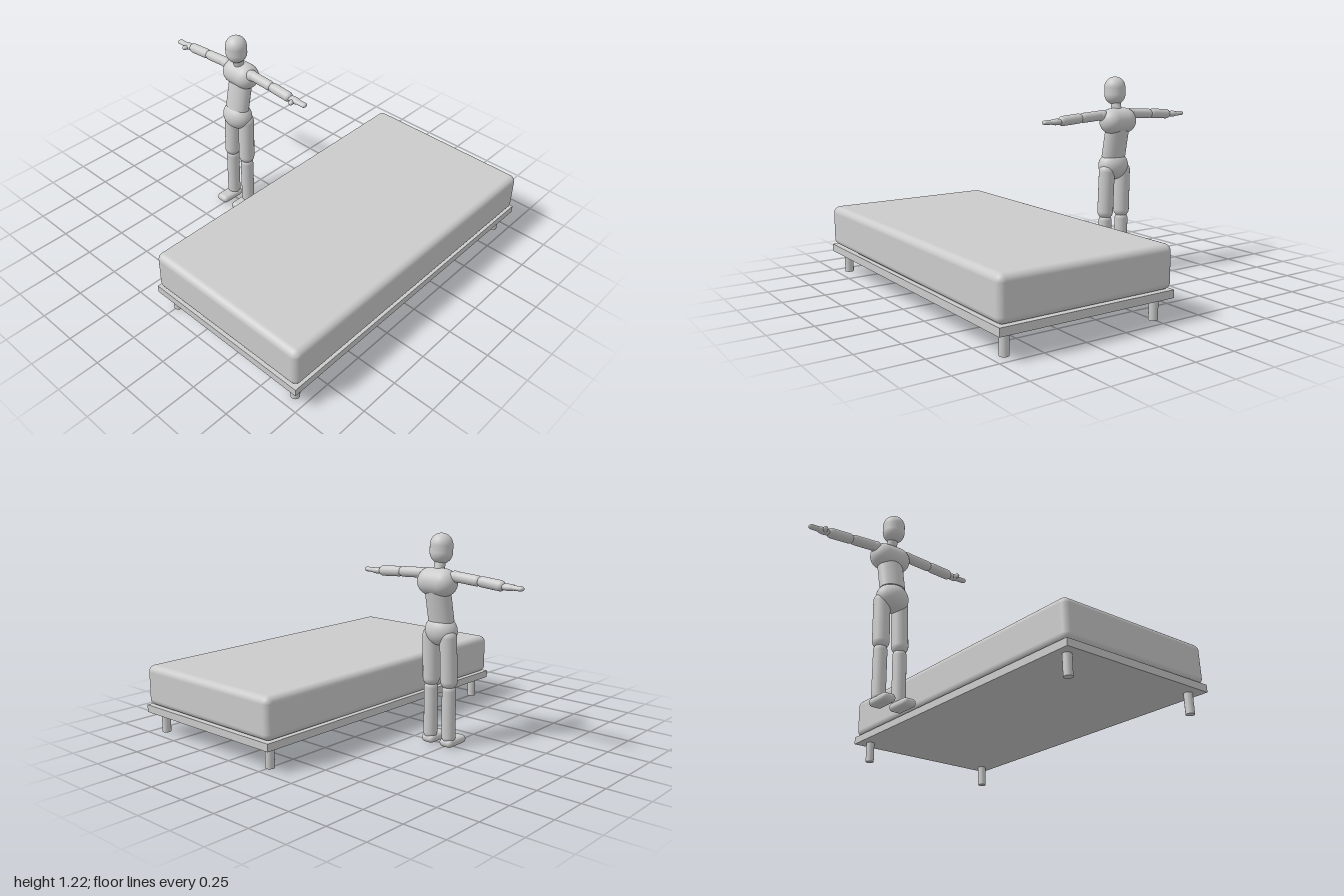
import * as THREE from 'three';
import { RoundedBoxGeometry } from 'three/addons/geometries/RoundedBoxGeometry.js';

const material = new THREE.MeshStandardMaterial({ color: 0xcccccc });
const UP = new THREE.Vector3(0, 1, 0);

function add(parent, name, geometry, x = 0, y = 0, z = 0) {
  const mesh = new THREE.Mesh(geometry, material);
  mesh.name = name;
  mesh.position.set(x, y, z);
  parent.add(mesh);
  return mesh;
}

// Capsule whose tips touch points a and b; sx and sz flatten its cross-section
function limb(parent, name, a, b, radius, sx = 1, sz = 1) {
  const start = new THREE.Vector3(...a), end = new THREE.Vector3(...b);
  const axis = end.clone().sub(start);
  const length = Math.max(axis.length() - 2 * radius, 0.001);
  const mesh = add(parent, name, new THREE.CapsuleGeometry(radius, length, 10, 32));
  mesh.position.copy(start).add(end).multiplyScalar(0.5);
  mesh.quaternion.setFromUnitVectors(UP, axis.normalize());
  mesh.scale.set(sx, 1, sz);
  return mesh;
}

function createBed() {
  const bed = new THREE.Group();
  bed.name = 'bed';
  add(bed, 'bedBase', new THREE.BoxGeometry(1.07, 0.045, 1.995), 0.463, 0.147, 0);
  add(bed, 'mattress', new RoundedBoxGeometry(1.065, 0.245, 1.985, 6, 0.04), 0.463, 0.292, 0);
  for (const x of [0, 0.925]) {
    for (const z of [-0.92, 0.92]) {
      add(bed, 'bedLeg', new THREE.CylinderGeometry(0.026, 0.026, 0.13, 32), x, 0.065, z);
    }
  }
  return bed;
}

function createFigure() {
  const figure = new THREE.Group();
  figure.name = 'mannequin';
  figure.position.x = -0.45;

  // Head, neck and torso, leaning slightly back at the chest
  limb(figure, 'head', [0, 1.05, -0.025], [0, 1.222, -0.021], 0.065);
  limb(figure, 'neck', [0, 0.99, -0.05], [0, 1.09, -0.025], 0.031);
  limb(figure, 'chest', [-0.123, 0.953, -0.055], [0.123, 0.953, -0.055], 0.079);
  const abdomen = add(figure, 'abdomen', new THREE.CylinderGeometry(0.08, 0.08, 0.2, 40), 0, 0.825, -0.035);
  abdomen.scale.z = 0.75;
  abdomen.rotation.x = -0.2;
  add(figure, 'pelvis', new THREE.SphereGeometry(0.1, 40, 24), 0, 0.672, -0.015).scale.set(1, 0.87, 0.8);

  for (const s of [-1, 1]) {
    // Legs
    limb(figure, 'thigh', [s * 0.06, 0.69, -0.03], [s * 0.064, 0.34, -0.018], 0.049);
    limb(figure, 'shin', [s * 0.064, 0.372, -0.02], [s * 0.066, 0.02, -0.019], 0.04);
    const foot = add(figure, 'foot', new RoundedBoxGeometry(0.086, 0.049, 0.162, 6, 0.024), s * 0.066, 0.026, 0.021);
    foot.rotation.y = s * 0.01;

    // Arms held out to the sides
    limb(figure, 'shoulder', [s * 0.075, 0.99, -0.04], [s * 0.145, 0.99, -0.04], 0.034);
    limb(figure, 'upperArm', [s * 0.1, 0.993, -0.04], [s * 0.285, 0.982, -0.04], 0.03);
    limb(figure, 'forearm', [s * 0.262, 0.984, -0.04], [s * 0.435, 0.972, -0.04], 0.03);

    // Hands: flattened palm, joined fingers and thumb
    const palm = add(figure, 'palm', new THREE.SphereGeometry(1, 28, 18), s * 0.455, 0.971, -0.04);
    palm.scale.set(0.05, 0.019, 0.026);
    limb(figure, 'fingers', [s * 0.45, 0.971, -0.04], [s * 0.55, 0.971, -0.04], 0.016, 0.85, 1.2);
    limb(figure, 'thumb', [s * 0.45, 0.969, -0.035], [s * 0.467, 0.969, 0.006], 0.014);
  }
  return figure;
}

export function createModel() {
  const model = new THREE.Group();
  model.name = 'bedWithMannequin';
  model.add(createBed(), createFigure());
  return model;
}
